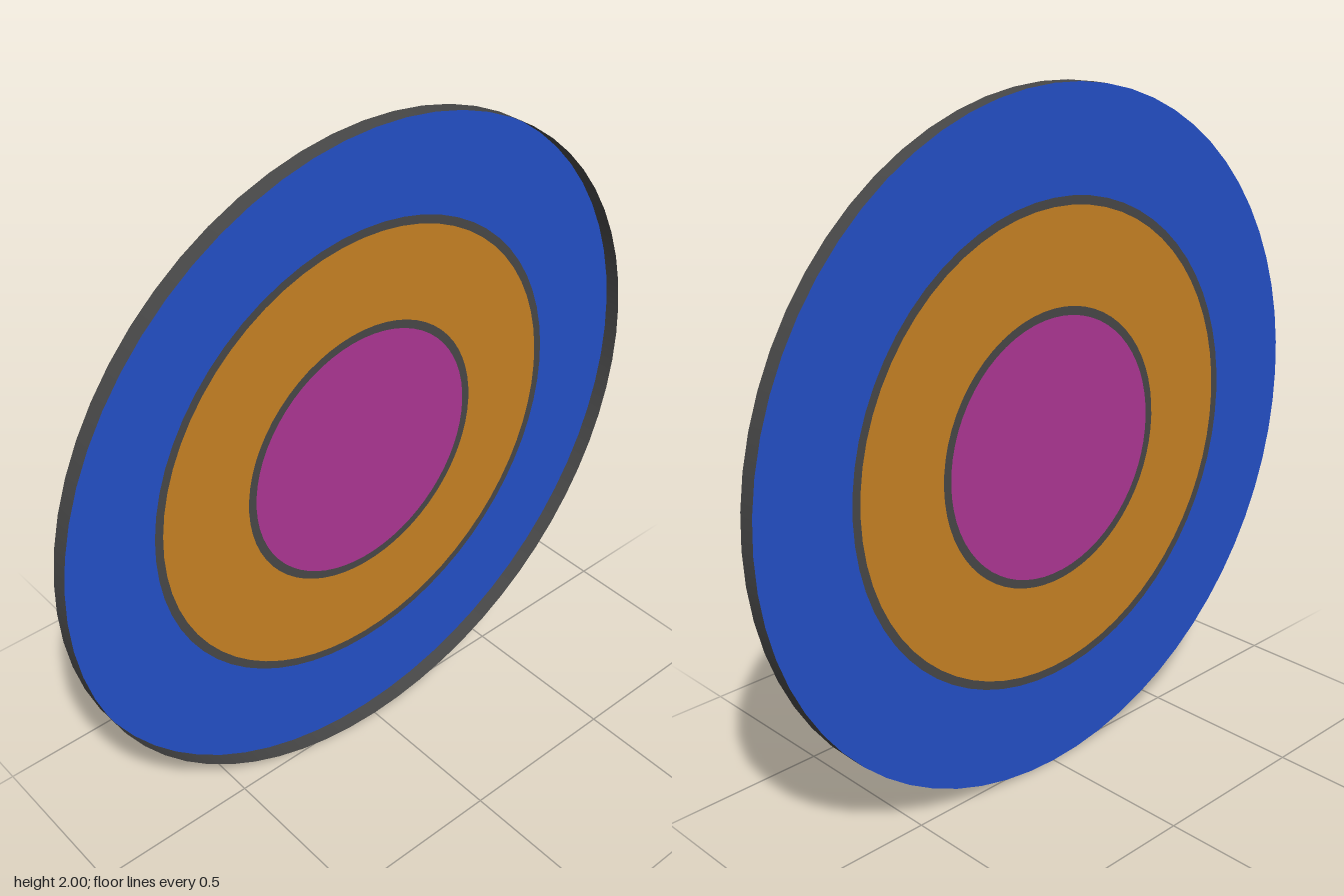
import * as THREE from 'three';

export function createModel() {
  const group = new THREE.Group();
  group.name = 'targetDisc';

  const mat = (name, color) => {
    const m = new THREE.MeshStandardMaterial({ color, side: THREE.DoubleSide });
    m.name = name;
    return m;
  };
  const blue = mat('blue', 0x2450c8);
  const orange = mat('orange', 0xc88224);
  const magenta = mat('magenta', 0xae3694);
  const charcoal = mat('charcoal', 0x484848);

  const SEGMENTS = 64;
  const DEPTH = 0.048;

  const add = (name, geometry, material, z) => {
    const mesh = new THREE.Mesh(geometry, material);
    mesh.name = name;
    mesh.position.set(0, 1, z);
    group.add(mesh);
  };

  // Open outer wall standing forward of the face
  const wall = new THREE.CylinderGeometry(1, 1, DEPTH, SEGMENTS, 1, true);
  wall.rotateX(Math.PI / 2);
  add('outerRim', wall, charcoal, 0);

  // Concentric bands of the face, flush with the back of the rim
  const bands = [
    ['outerBand', 0.705, 1, blue],
    ['outerDivider', 0.68, 0.705, charcoal],
    ['middleBand', 0.405, 0.68, orange],
    ['innerDivider', 0.38, 0.405, charcoal],
  ];
  for (const [name, inner, outer, material] of bands) {
    add(name, new THREE.RingGeometry(inner, outer, SEGMENTS), material, -DEPTH / 2);
  }
  add('centreDisc', new THREE.CircleGeometry(0.38, SEGMENTS), magenta, -DEPTH / 2);

  return group;
}
